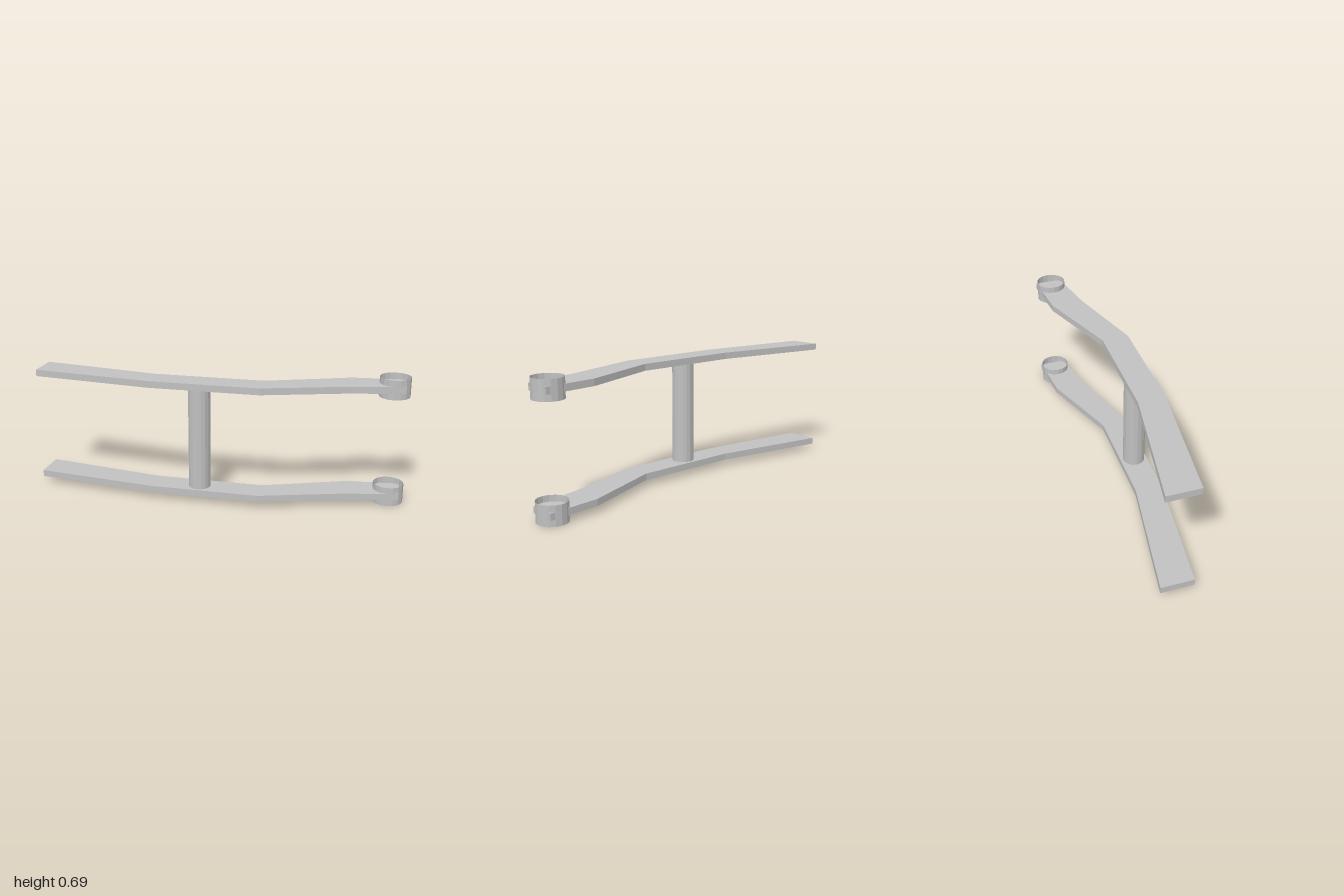
import * as THREE from 'three';

export function createModel() {
  const model = new THREE.Group();
  model.name = 'twinRailFrame';

  const grey = new THREE.MeshStandardMaterial({ color: 0xc0c0c0 });
  grey.name = 'grey';
  grey.flatShading = true;
  const openGrey = grey.clone();
  openGrey.name = 'grey open';
  openGrey.side = THREE.DoubleSide;

  const add = (name, geometry, material, x, y, z) => {
    const mesh = new THREE.Mesh(geometry, material);
    mesh.name = name;
    mesh.position.set(x, y, z);
    model.add(mesh);
  };

  // Bent rail outline as [x, z], front edge then back edge
  const outline = [
    [-1, 0.095], [-0.335, 0.172], [0.25, 0.172], [0.69, 0.037], [0.975, -0.022],
    [0.975, -0.168], [0.69, -0.14], [0.25, 0.026], [-0.335, 0.026], [-1, -0.08],
  ];
  const shape = new THREE.Shape(outline.map(([x, z]) => new THREE.Vector2(x, -z)));
  const railGeometry = new THREE.ExtrudeGeometry(shape, { depth: 0.036, bevelEnabled: false });
  railGeometry.rotateX(-Math.PI / 2);

  // Thin open collar around the end of each rail
  const collarGeometry = new THREE.CylinderGeometry(0.081, 0.081, 0.104, 16, 1, true);

  [['lower', 0], ['upper', 0.59]].forEach(([level, y]) => {
    add(level + 'Rail', railGeometry, grey, 0, y + 0.035, 0);
    add(level + 'Collar', collarGeometry, openGrey, 0.916, y + 0.052, -0.092);
  });

  // Post joining the two rails
  add('post', new THREE.CylinderGeometry(0.059, 0.059, 0.556, 16), grey, -0.08, 0.348, 0.101);

  return model;
}
